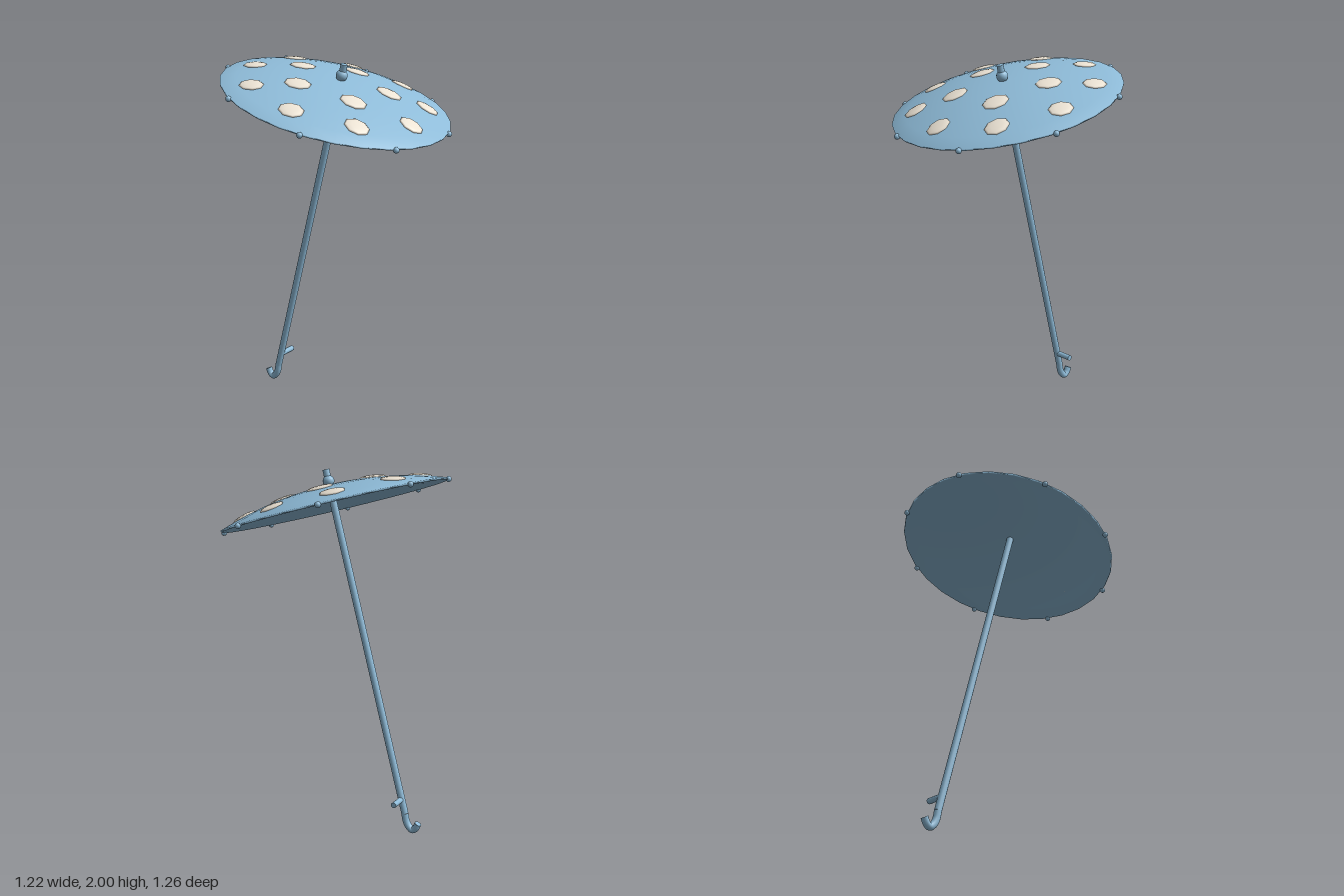
import * as THREE from 'three';

const TILT = 15 * Math.PI / 180;
const R = 0.632, H = 0.11, DOME = (R * R + H * H) / (2 * H);

const blue = new THREE.MeshStandardMaterial({ color: 0x8ebbd8 });
const cream = new THREE.MeshStandardMaterial({ color: 0xece3d4 });

// height of the dome surface above the rim plane
const domeY = r => Math.sqrt(DOME * DOME - r * r) - (DOME - H);

function add(parent, name, geometry, material = blue, x = 0, y = 0, z = 0) {
  const mesh = new THREE.Mesh(geometry, material);
  mesh.name = name;
  mesh.position.set(x, y, z);
  parent.add(mesh);
  return mesh;
}

export function createModel() {
  const model = new THREE.Group();
  model.name = 'parasol';

  // everything along the leaning axis; origin is the centre of the rim
  const top = new THREE.Group();
  top.name = 'leaningParts';
  top.position.y = 1.81;
  top.rotation.z = -TILT;
  model.add(top);

  // canopy: thin shell, underside outwards then upper side back to the apex
  const profile = [], steps = 8;
  for (let i = 0; i <= steps; i++) {
    const r = (R - 0.004) * i / steps;
    profile.push(new THREE.Vector2(r, domeY(r) - 0.012));
  }
  for (let i = steps; i >= 0; i--) {
    const r = R * i / steps;
    profile.push(new THREE.Vector2(r, domeY(r)));
  }
  add(top, 'canopy', new THREE.LatheGeometry(profile, 28));

  // two rings of flattened dots lying on the dome
  const dotRing = (count, radius, start, sx, sz) => {
    const geometry = new THREE.SphereGeometry(1, 8, 6).scale(sx, 0.012, sz);
    for (let i = 0; i < count; i++) {
      const a = start + i * 2 * Math.PI / count;
      const x = radius * Math.cos(a), z = radius * Math.sin(a), y = domeY(radius);
      const dot = add(top, 'dot', geometry, cream, x, y, z);
      const normal = new THREE.Vector3(x, y + DOME - H, z).normalize();
      dot.quaternion.setFromUnitVectors(new THREE.Vector3(0, 1, 0), normal);
    }
  };
  dotRing(5, 0.267, Math.PI / 5, 0.076, 0.066);
  dotRing(9, 0.49, 0, 0.07, 0.061);

  // beads at the rib ends
  const bead = new THREE.SphereGeometry(0.016, 10, 8);
  for (let i = 0; i < 8; i++) {
    const a = (i + 0.5) * Math.PI / 4;
    add(top, 'ribBead', bead, blue, R * Math.cos(a), -0.008, R * Math.sin(a));
  }

  // finial
  add(top, 'finialKnob', new THREE.SphereGeometry(0.032, 14, 10), blue, 0, 0.132, 0);
  add(top, 'finialTip', new THREE.CylinderGeometry(0.019, 0.019, 0.08, 12), blue, 0, 0.155, 0);

  // shaft
  const low = -1.76, high = 0.105;
  add(top, 'shaft', new THREE.CylinderGeometry(0.02, 0.02, high - low, 12), blue, 0, (high + low) / 2, 0);

  // hooked handle with a flat end
  const path = new THREE.CatmullRomCurve3([
    [-0.4555, 0.11], [-0.465, 0.065], [-0.483, 0.034], [-0.503, 0.021], [-0.522, 0.034], [-0.537, 0.064],
  ].map(([x, y]) => new THREE.Vector3(x, y, 0)));
  add(model, 'hookHandle', new THREE.TubeGeometry(path, 24, 0.02, 12));
  const cap = add(model, 'hookEnd', new THREE.CircleGeometry(0.02, 12));
  cap.position.copy(path.getPoint(1));
  cap.quaternion.setFromUnitVectors(new THREE.Vector3(0, 0, 1), path.getTangent(1));

  // side peg pointing to the back
  const peg = new THREE.CylinderGeometry(0.016, 0.016, 0.105, 12).rotateX(Math.PI / 2);
  add(model, 'sidePeg', peg, blue, -0.434, 0.19, -0.0525);

  return model;
}
